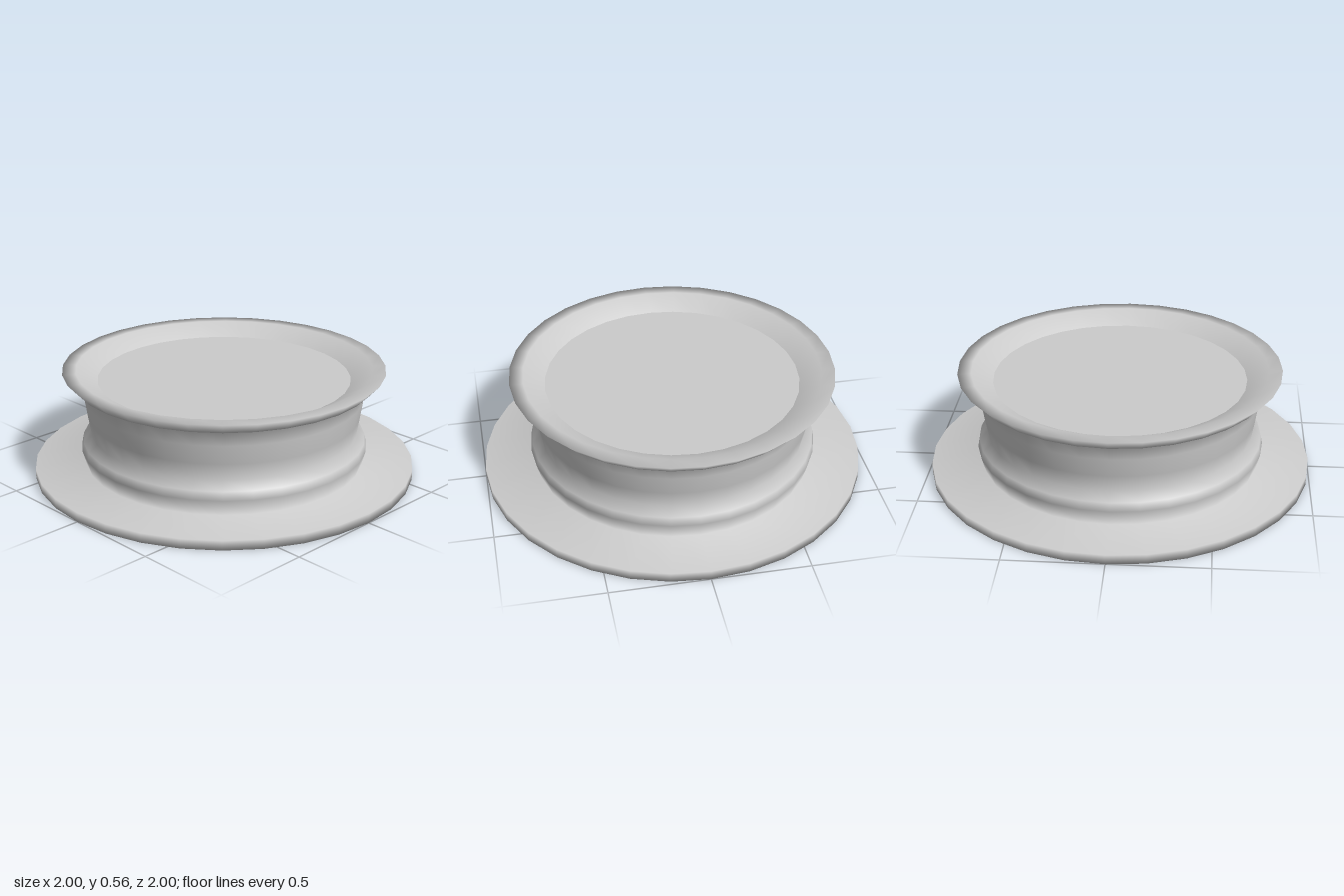
import * as THREE from 'three';

const SEGMENTS = 32;

export function createModel() {
  const group = new THREE.Group();
  const material = new THREE.MeshStandardMaterial({ color: 0xcccccc });

  // Turned shell: flat flange, waisted drum and flared rim, smooth throughout
  const profile = [
    [0, 0], [1, 0], [1, 0.05],                       // flange
    [0.73, 0.05], [0.754, 0.135], [0.745, 0.18],     // lower bulge
    [0.7, 0.22], [0.715, 0.31], [0.73, 0.41], [0.735, 0.5], // waist
    [0.785, 0.5], [0.84, 0.56], [0.77, 0.56],        // flared rim
    [0.66, 0.5],                                     // inner slope
  ].map(([r, y]) => new THREE.Vector2(r, y));
  const shell = new THREE.Mesh(new THREE.LatheGeometry(profile, SEGMENTS), material);
  shell.name = 'flangedShell';
  group.add(shell);

  // Recessed flat floor inside the rim
  const floor = new THREE.Mesh(new THREE.CircleGeometry(0.66, SEGMENTS), material);
  floor.name = 'recessedFloor';
  floor.rotation.x = -Math.PI / 2;
  floor.position.y = 0.5;
  group.add(floor);

  return group;
}
